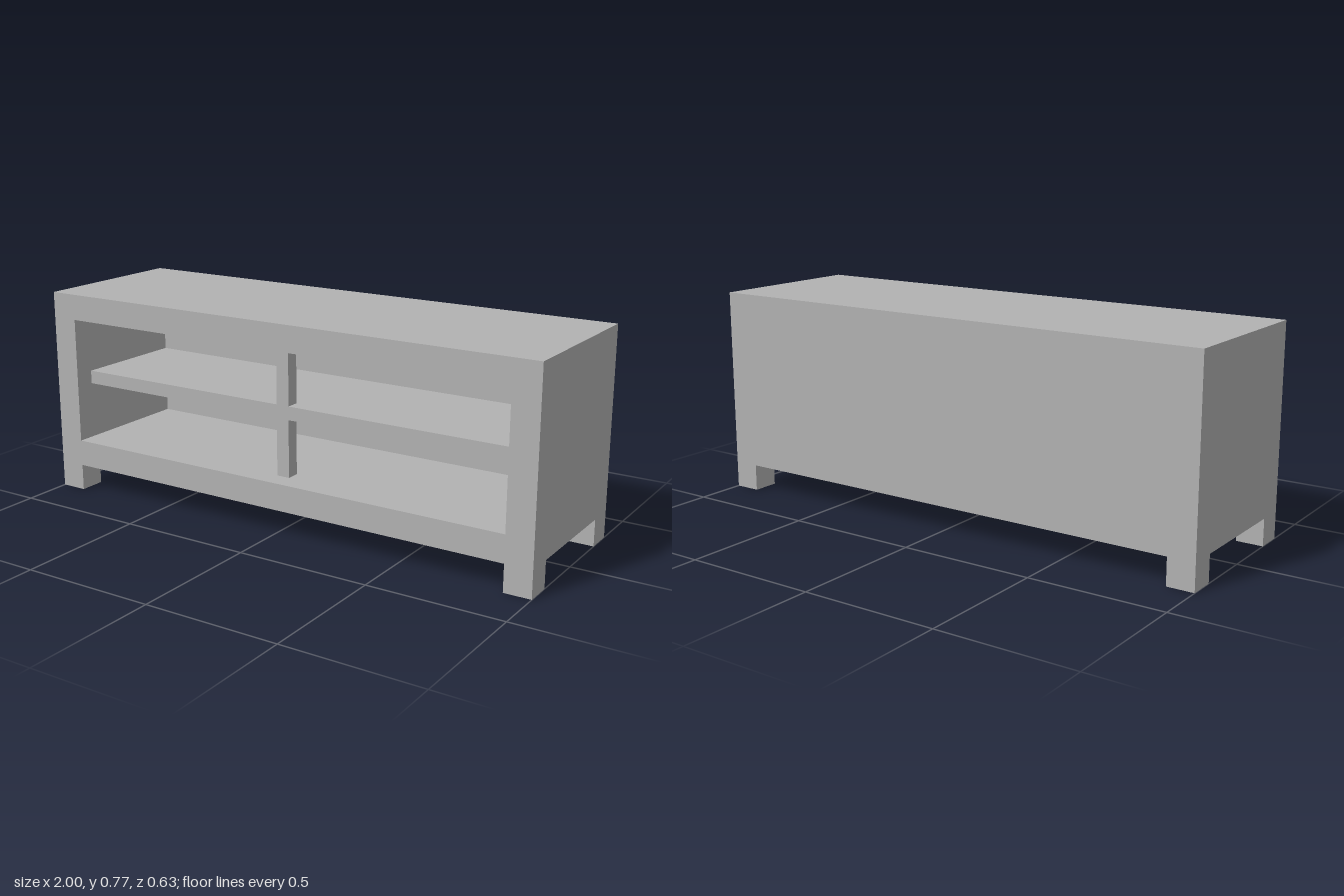
import * as THREE from 'three';

const W = 2, H = 0.775, D = 0.626, T = 0.1; // overall size and board thickness

export function createModel() {
  const group = new THREE.Group();
  group.name = 'mediaCabinet';
  const grey = new THREE.MeshStandardMaterial({ color: 0xb2b2b2 });
  grey.name = 'matte grey';

  const add = (name, geometry, x, y, z) => {
    const mesh = new THREE.Mesh(geometry, grey);
    mesh.name = name;
    mesh.position.set(x, y, z);
    group.add(mesh);
  };
  const rect = (target, x0, y0, x1, y1) => {
    target.moveTo(x0, y0);
    target.lineTo(x1, y0);
    target.lineTo(x1, y1);
    target.lineTo(x0, y1);
    target.closePath();
    return target;
  };

  // Carcass: top, sides and floor as one open frame
  const inner = W / 2 - T, floorY = 0.2, ceilingY = 0.678;
  const frame = rect(new THREE.Shape(), -W / 2, T, W / 2, H);
  frame.holes.push(rect(new THREE.Path(), -inner, floorY, inner, ceilingY));
  add('carcass', new THREE.ExtrudeGeometry(frame, { depth: D - T, bevelEnabled: false }), 0, 0, -D / 2 + T);

  // Back panel closes the frame
  add('backPanel', new THREE.BoxGeometry(W, H - T, T), 0, (H + T) / 2, -D / 2 + T / 2);

  // Shelf, set back from the front opening
  const shelfFront = D / 2 - 0.075, shelfBack = -D / 2 + T, bar = 0.05;
  const shelfY = (floorY + ceilingY) / 2;
  add('shelf', new THREE.BoxGeometry(inner * 2, bar, shelfFront - shelfBack), 0, shelfY, (shelfFront + shelfBack) / 2);

  // Square centre post above and below the shelf
  const postH = (ceilingY - floorY - bar) / 2;
  for (const [name, s] of [['upperPost', 1], ['lowerPost', -1]]) {
    add(name, new THREE.BoxGeometry(bar, postH, bar), 0, shelfY + s * (bar + postH) / 2, shelfFront - bar / 2);
  }

  // Four square corner legs
  for (const [side, sx] of [['Left', 1], ['Right', -1]]) {
    for (const [end, sz] of [['front', 1], ['back', -1]]) {
      add(`${end}${side}Leg`, new THREE.BoxGeometry(T, T, T), sx * (W - T) / 2, T / 2, sz * (D - T) / 2);
    }
  }
  return group;
}
